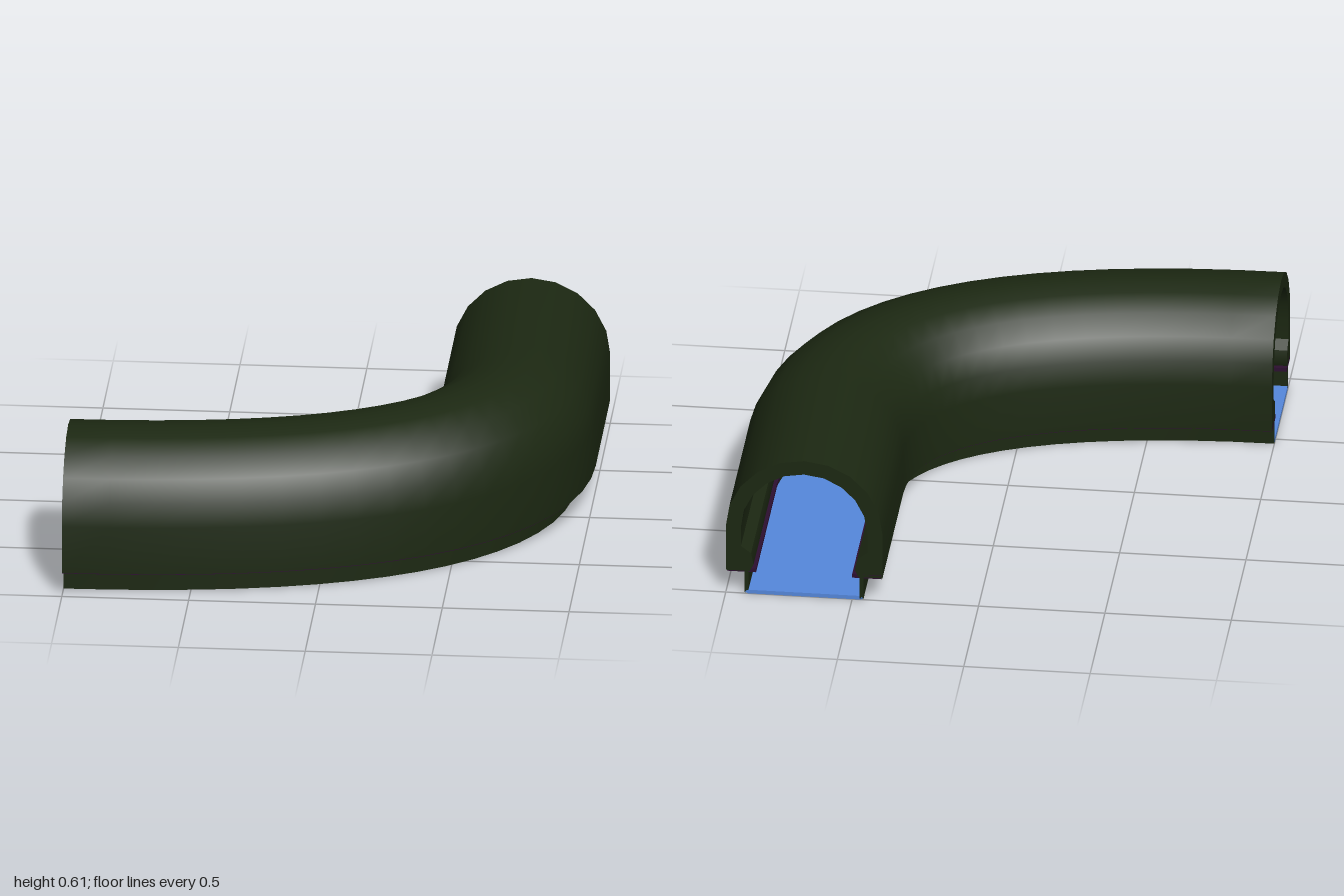
import * as THREE from 'three';
import { toCreasedNormals } from 'three/addons/utils/BufferGeometryUtils.js';

// Route seen from above: a curve from the left end, then a short straight run to the back
function makeStations() {
  const V = (x, z) => new THREE.Vector3(x, 0, z);
  const c = 0.645;
  const curve = new THREE.CubicBezierCurve3(
    V(-1, 0.69), V(-1 + 1.69 * c, 0.69), V(0.69, -0.3 + 0.99 * c), V(0.69, -0.3));
  const stations = [];
  const steps = 18;
  for (let i = 0; i <= steps; i++) {
    const t = curve.getTangent(i / steps);
    // side points to the outside of the bend
    stations.push({ p: curve.getPoint(i / steps), side: V(-t.z, t.x) });
  }
  stations.push({ p: V(0.69, -1), side: V(1, 0) });
  return stations;
}

// Sweep a closed counter-clockwise profile of [across, height] points along the route
function sweep(profile, stations) {
  const pos = [];
  const idx = [];
  const n = profile.length;
  for (const { p, side } of stations) {
    for (const [u, y] of profile) pos.push(p.x + side.x * u, y, p.z + side.z * u);
  }
  for (let k = 0; k < stations.length - 1; k++) {
    for (let i = 0; i < n; i++) {
      const j = (i + 1) % n;
      const a = k * n + i, b = k * n + j, c = b + n, e = a + n;
      idx.push(a, e, c, a, c, b);
    }
  }
  // end caps
  const last = (stations.length - 1) * n;
  const contour = profile.map(([u, y]) => new THREE.Vector2(u, y));
  for (const [a, b, c] of THREE.ShapeUtils.triangulateShape(contour, [])) {
    idx.push(a, b, c, last + a, last + c, last + b);
  }
  const g = new THREE.BufferGeometry();
  g.setAttribute('position', new THREE.Float32BufferAttribute(pos, 3));
  g.setIndex(idx);
  return toCreasedNormals(g, 0.7);
}

const rect = (u0, u1, y0, y1) => [[u0, y0], [u1, y0], [u1, y1], [u0, y1]];

// Arched shell: half-round top, straight walls and a thickened foot on the inside
function shellProfile() {
  const outer = [[0.31, 0.1]];
  const inner = [];
  for (let i = 0; i <= 10; i++) {
    const a = (i / 10) * Math.PI;
    outer.push([0.31 * Math.cos(a), 0.295 + 0.31 * Math.sin(a)]);
    inner.push([-0.25 * Math.cos(a), 0.295 + 0.25 * Math.sin(a)]);
  }
  outer.push([-0.31, 0.1]);
  const foot = [[0.25, 0.21], [0.21, 0.18], [0.2, 0.13], [0.215, 0.1]];
  const mirrored = foot.map(([u, y]) => [-u, y]).reverse();
  return [...outer, ...mirrored, ...inner, ...foot];
}

export function createModel() {
  const group = new THREE.Group();
  const stations = makeStations();
  const green = new THREE.MeshStandardMaterial({ color: 0x1c2812 });
  const purple = new THREE.MeshStandardMaterial({ color: 0x2c0f30 });
  const blue = new THREE.MeshStandardMaterial({ color: 0x5588dd });

  const add = (name, profile, material) => {
    const mesh = new THREE.Mesh(sweep(profile, stations), material);
    mesh.name = name;
    group.add(mesh);
  };

  add('archedShell', shellProfile(), green);

  // Skirt walls and the strips under the shell, one on each side
  for (const [label, s] of [['outer', 1], ['inner', -1]]) {
    const span = (a, b, y0, y1) => rect(Math.min(s * a, s * b), Math.max(s * a, s * b), y0, y1);
    add(label + 'Skirt', span(0.22, 0.235, 0.004, 0.105), green);
    add(label + 'Strip', span(0.19, 0.306, 0.096, 0.112), purple);
  }

  // Flat floor with slightly bevelled lower edges
  add('floor', [[-0.222, 0], [0.222, 0], [0.234, 0.006], [0.225, 0.016], [-0.225, 0.016], [-0.234, 0.006]], blue);

  return group;
}
